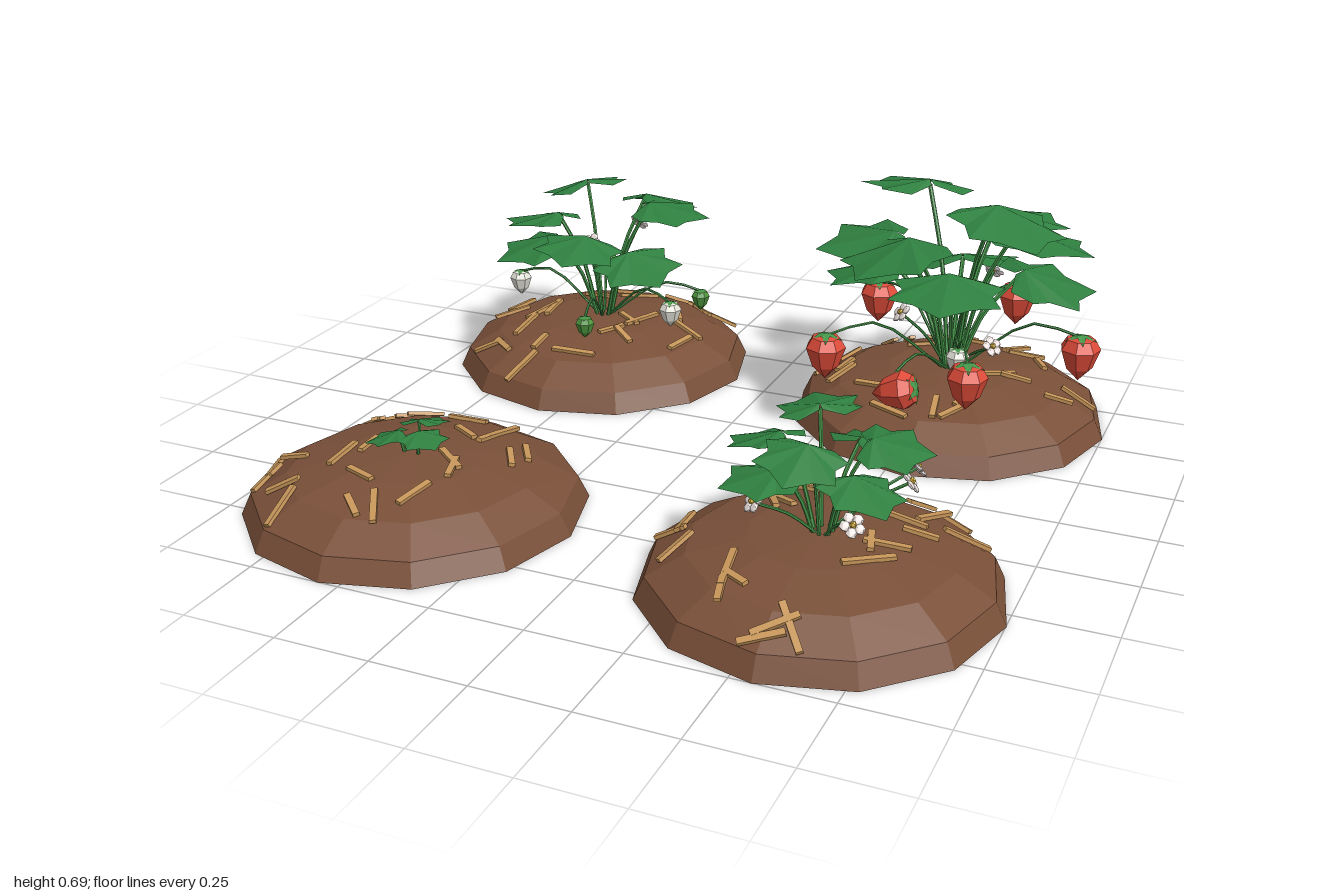
import * as THREE from 'three';

const mat = (name, color, extra = {}) => {
  const m = new THREE.MeshStandardMaterial({ color, flatShading: true, ...extra });
  m.name = name;
  return m;
};
const both = { side: THREE.DoubleSide };
const lathe = (points, sides) => new THREE.LatheGeometry(points.map((p) => new THREE.Vector2(...p)), sides);

// Mound cross-section, from the rim to the crown
const RIM = [[0.447, 0], [0.42, 0.058], [0.325, 0.112], [0.18, 0.145], [0, 0.156]];

function moundAt(r) {
  const i = Math.max(1, RIM.findIndex(([radius]) => radius <= r));
  const [r0, y0] = RIM[i - 1], [r1, y1] = RIM[i];
  const slope = (y1 - y0) / (r1 - r0);
  return { y: y0 + slope * (r - r0), slope };
}

function facets(pos) {
  const g = new THREE.BufferGeometry();
  g.setAttribute('position', new THREE.Float32BufferAttribute(pos, 3));
  g.computeVertexNormals();
  return g;
}

// Lobed leaf of unit length: a fan of broad facets, ribs raised and notches sunk
function leafGeometry() {
  const half = [[-0.12, 0.34], [0.08, 0.62], [0.3, 0.5], [0.62, 0.62], [0.7, 0.32], [1, 0]];
  const outline = [[0, 0.02], ...half, ...half.slice(0, -1).reverse().map(([x, z]) => [x, -z]), [0, -0.02]];
  const rim = outline.map(([x, z], i) => [x, -0.2 * Math.hypot(x, z) ** 2 - (i % 2 ? 0.05 : 0), z]);
  const pos = [];
  for (let i = 0; i < rim.length - 1; i++) pos.push(0.1, 0.05, 0, ...rim[i], ...rim[i + 1]);
  return facets(pos);
}

// Pointed star of sepals with drooping tips
function sepalGeometry(points, inner, outer, droop) {
  const pos = [];
  const at = (i) => {
    const a = -i * Math.PI / points, r = i % 2 ? inner : outer;
    return [Math.cos(a) * r, i % 2 ? 0 : -droop, Math.sin(a) * r];
  };
  for (let i = 0; i < points * 2; i++) pos.push(0, 0.004, 0, ...at(i), ...at(i + 1));
  return facets(pos);
}

// Growth stages. Leaves circle the crown from angle `start` by `step` degrees, one per height.
// Fruit is [x, z, y if lying on the soil] and flowers are [x, y, z] from the mound centre.
const SEEDLING = { name: 'seedling', x: -0.555, z: 0.555, leaf: 0.1, reach: 0.125, start: 270, step: 120, heights: [0.225, 0.215, 0.21] };
const FLOWERING = {
  name: 'floweringPlant', x: 0.555, z: 0.555, leaf: 0.16, reach: 0.265, start: 90, step: 51.4,
  heights: [0.42, 0.32, 0.37, 0.42, 0.35, 0.39, 0.34],
  flowers: [[-0.12, 0.27, 0.14], [0.19, 0.29, -0.06], [0.13, 0.28, 0.18], [0.17, 0.27, -0.18]],
};
const YOUNG = {
  name: 'youngFruitPlant', x: -0.555, z: -0.555, leaf: 0.2, reach: 0.345, start: 300, step: 48,
  heights: [0.5, 0.51, 0.39, 0.44, 0.42, 0.45, 0.53],
  flowers: [[-0.01, 0.4, 0.06], [0.04, 0.4, -0.18]],
  pale: [[-0.28, 0.02], [0.27, 0.1]],
  green: [[0.08, 0.29], [-0.12, -0.28], [0.3, -0.06]],
};
const RIPE = {
  name: 'ripePlant', x: 0.555, z: -0.555, leaf: 0.245, reach: 0.415, start: 45, step: 36,
  heights: [0.68, 0.48, 0.57, 0.55, 0.43, 0.65, 0.42, 0.57, 0.43, 0.59],
  flowers: [[0.08, 0.46, 0.18], [-0.12, 0.34, 0.12], [0.05, 0.37, -0.25], [0.14, 0.27, 0.1]],
  pale: [[0.05, 0.13]],
  ripe: [[0.365, 0.005], [0.1, -0.36], [-0.29, -0.22], [-0.29, 0.27], [0.13, 0.33], [-0.08, 0.28, 0.17]],
};
const FRUIT_SIZE = { ripe: 1, pale: 0.6, green: 0.5 };

export function createModel() {
  const M = {
    soil: mat('soil brown', 0x7a5039),
    straw: mat('straw', 0xc8975a),
    leaf: mat('leaf green', 0x2f8040, both),
    stem: mat('stem green', 0x46964a, both),
    ripe: mat('ripe red', 0xe04c3a),
    pale: mat('pale fruit', 0xe9e8de),
    green: mat('unripe green', 0x4f963f),
    petal: mat('petal white', 0xf6ebe8),
    centre: mat('flower yellow', 0xe0b840),
  };
  const mound = lathe([[0, 0], ...RIM], 12);
  const berry = lathe([[0, -0.07], [0.038, -0.03], [0.057, 0.025], [0.04, 0.054], [0, 0.06]], 7);
  const leaf = leafGeometry();
  const calyx = sepalGeometry(5, 0.02, 0.05, 0.012);
  const petal = new THREE.IcosahedronGeometry(0.014, 0).scale(1, 0.45, 1);
  const heart = new THREE.IcosahedronGeometry(0.009, 0);
  const strawGeo = new THREE.BoxGeometry(1, 0.01, 0.017);
  const up = new THREE.Vector3(0, 1, 0);
  const model = new THREE.Group();

  const add = (parent, name, geo, material, pos = [0, 0, 0], scale = 1) => {
    const m = new THREE.Mesh(geo, material);
    m.name = name;
    m.position.set(...pos);
    m.scale.setScalar(scale);
    parent.add(m);
    return m;
  };
  const group = (parent, name, pos) => {
    const g = new THREE.Group();
    g.name = name;
    g.position.set(...pos);
    parent.add(g);
    return g;
  };
  const stalk = (parent, name, pts, radius) => {
    const curve = new THREE.CatmullRomCurve3(pts.map((p) => new THREE.Vector3(...p)));
    add(parent, name, new THREE.TubeGeometry(curve, 6, radius, 6), M.stem);
  };

  [SEEDLING, FLOWERING, YOUNG, RIPE].forEach((p, index) => {
    const plant = group(model, p.name, [p.x, 0, p.z]);
    add(plant, 'mound', mound, M.soil);

    // Straw mulch lying along the slope
    let seed = 7654321 * (index + 1);
    const rand = () => (seed = (seed * 16807) % 2147483647) / 2147483647;
    for (let i = 0; i < 24; i++) {
      const a = rand() * Math.PI * 2, r = 0.08 + 0.31 * Math.sqrt(rand()), { y, slope } = moundAt(r);
      const m = add(plant, 'straw', strawGeo, M.straw, [Math.cos(a) * r, y + 0.004, Math.sin(a) * r]);
      const normal = new THREE.Vector3(-slope * Math.cos(a), 1, -slope * Math.sin(a)).normalize();
      m.quaternion.setFromUnitVectors(up, normal);
      m.rotateY(rand() * Math.PI);
      m.scale.x = 0.07 + rand() * 0.07;
    }

    // Leaves on arching stems
    p.heights.forEach((h, i) => {
      const a = (p.start + i * p.step) * Math.PI / 180, r = p.reach * (i % 2 ? 0.96 : 1) - p.leaf;
      const at = (d, y) => [Math.cos(a) * d, y, Math.sin(a) * d];
      stalk(plant, 'leafStem', [at(0.02, 0.14), at(0.02 + r * 0.4, 0.14 + (h - 0.14) * 0.6), at(r + p.leaf * 0.08, h)], 0.003 + p.leaf * 0.014);
      const m = add(plant, 'leaf', leaf, M.leaf, at(r, h), p.leaf);
      m.rotation.set((i % 3 - 1) * 0.12, -a, i % 2 ? 0.05 : -0.06, 'YXZ');
    });

    // Fruit hanging from arched runners, or lying on its side on the soil
    for (const [kind, k] of Object.entries(FRUIT_SIZE)) {
      for (const [x, z, lying] of p[kind] ?? []) {
        const y = lying ?? 0.2 + 0.04 * k, top = y + 0.06 * k;
        stalk(plant, 'fruitStem', [[x * 0.06, 0.15, z * 0.06], [x * 0.6, top + 0.015, z * 0.6],
          [x * 0.85, top + 0.012, z * 0.85], [x, top - 0.002, z]], 0.004);
        const fruit = group(plant, kind + 'Fruit', [x, y, z]);
        fruit.rotation.z = lying ? -1.3 : 0;
        add(fruit, 'berry', berry, M[kind], [0, 0, 0], k);
        add(fruit, 'calyx', calyx, M.stem, [0, 0.061 * k, 0], k);
      }
    }

    // Flowers with five rounded petals, facing up and outward
    for (const [x, y, z] of p.flowers ?? []) {
      stalk(plant, 'flowerStem', [[x * 0.08, 0.15, z * 0.08], [x * 0.5, y * 0.55 + 0.07, z * 0.5], [x, y - 0.002, z]], 0.004);
      const flower = group(plant, 'flower', [x, y, z]);
      flower.quaternion.setFromUnitVectors(up, new THREE.Vector3(x, Math.hypot(x, z) * 0.8, z).normalize());
      for (let i = 0; i < 5; i++) {
        const a = i * Math.PI * 0.4;
        add(flower, 'petal', petal, M.petal, [Math.cos(a) * 0.018, 0, Math.sin(a) * 0.018]);
      }
      add(flower, 'flowerCentre', heart, M.centre, [0, 0.004, 0]);
    }
  });
  return model;
}
